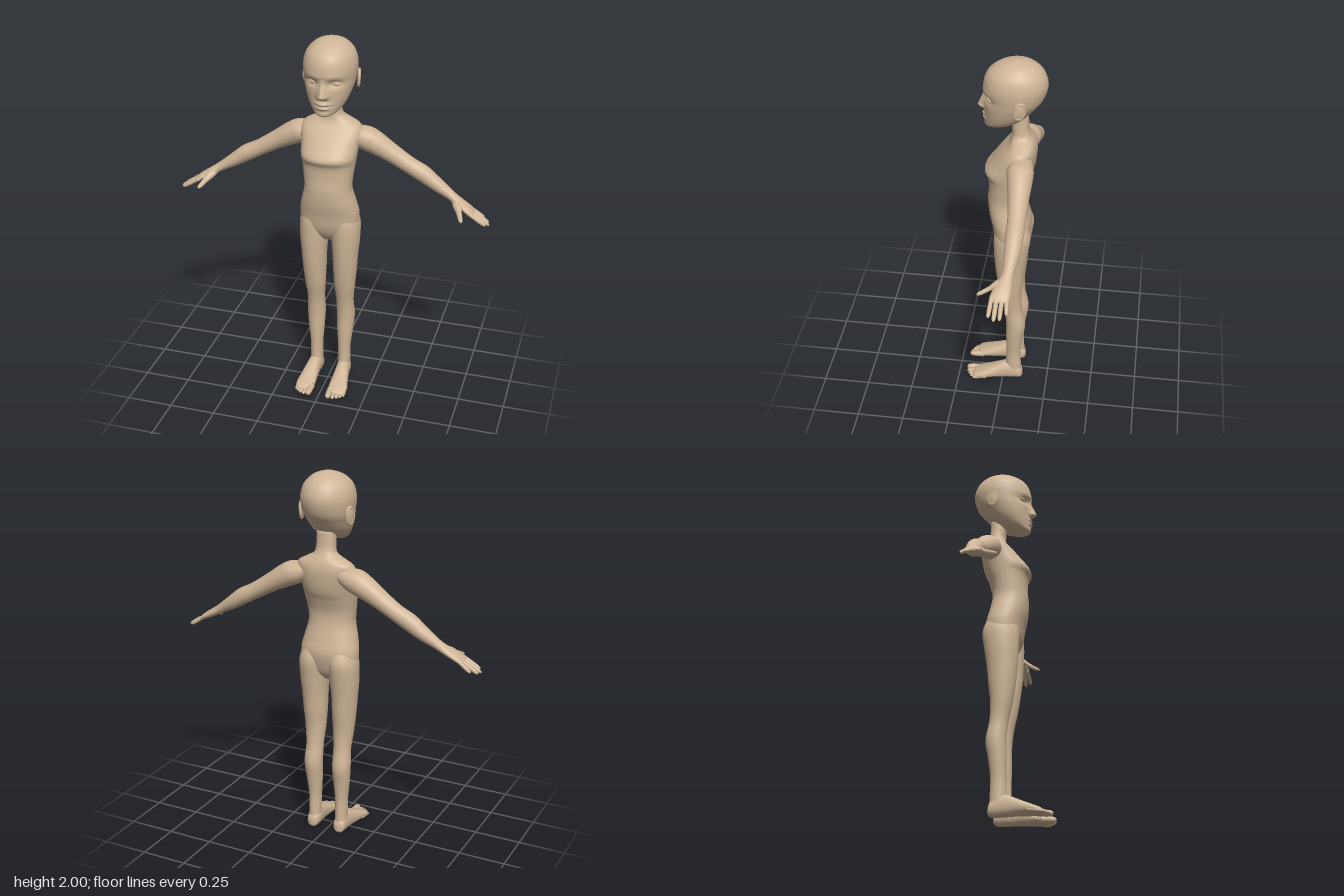
import * as THREE from 'three';

const X = new THREE.Vector3(1, 0, 0), Y = new THREE.Vector3(0, 1, 0), Z = new THREE.Vector3(0, 0, 1);
const ARM_DOWN = new THREE.Vector3(-0.54, -0.84, 0);

// Smooth interpolation through rows of numbers
function sample(rows, t) {
  const n = rows.length - 1, i = Math.min(Math.floor(t * n), n - 1), f = t * n - i;
  const at = k => rows[Math.max(0, Math.min(n, k))];
  return rows[0].map((_, c) => {
    const a = at(i - 1)[c], b = at(i)[c], d = at(i + 1)[c], e = at(i + 2)[c];
    return b + 0.5 * f * (d - a + f * (2 * a - 5 * b + 4 * d - e + f * (3 * (b - d) + e - a)));
  });
}

// Closed loft; each row is centre x, y, z and radii along u and v. The path runs along u x v.
function loft(rows, u, v, { sides = 32, steps = 6, power = 2, sculpt } = {}) {
  const pos = [], index = [], rings = (rows.length - 1) * steps;
  const sp = c => Math.sign(c) * Math.abs(c) ** (2 / power);
  const put = p => { if (sculpt) sculpt(p); pos.push(p.x, p.y, p.z); };
  for (let i = 0; i <= rings; i++) {
    const [x, y, z, a, b] = sample(rows, i / rings);
    for (let j = 0; j < sides; j++) {
      const t = j / sides * Math.PI * 2;
      put(new THREE.Vector3(x, y, z).addScaledVector(u, a * sp(Math.cos(t))).addScaledVector(v, b * sp(Math.sin(t))));
    }
  }
  for (let i = 0; i < rings; i++) for (let j = 0; j < sides; j++) {
    const k = (j + 1) % sides, a = i * sides + j, b = i * sides + k;
    index.push(a, b, b + sides, a, b + sides, a + sides);
  }
  const first = pos.length / 3, last = rings * sides;
  put(new THREE.Vector3(...rows[0].slice(0, 3)));
  put(new THREE.Vector3(...rows[rows.length - 1].slice(0, 3)));
  for (let j = 0; j < sides; j++) {
    const k = (j + 1) % sides;
    index.push(first, k, j, first + 1, last + j, last + k);
  }
  const g = new THREE.BufferGeometry();
  g.setAttribute('position', new THREE.Float32BufferAttribute(pos, 3));
  g.setIndex(index);
  g.computeVertexNormals();
  return g;
}

// Round-ended digit from p to q
function digit(p, q, r, u, v) {
  const rows = [[0, 1], [0.3, 0.95], [0.6, 0.98], [0.85, 0.85], [0.96, 0.55], [1, 0.1]].map(([t, s]) =>
    [...p.map((c, i) => c + (q[i] - c) * t), r * s, r * s]);
  return loft(rows, u, v, { sides: 14, steps: 3 });
}

// Rows of height, half width, front z, back z
const upright = rows => rows.map(([y, w, f, b]) => [0, y, (f + b) / 2, (f - b) / 2, w]);

function mirrored(g) {
  const m = g.clone().scale(-1, 1, 1), ix = m.index.array;
  for (let i = 0; i < ix.length; i += 3) [ix[i], ix[i + 1]] = [ix[i + 1], ix[i]];
  m.computeVertexNormals();
  return m;
}

export function createModel() {
  const skin = new THREE.MeshStandardMaterial({ color: 0xcfb597 });
  skin.name = 'skin';
  const model = new THREE.Group();
  model.name = 'figure';
  const add = (name, g) => {
    const m = new THREE.Mesh(g, skin);
    m.name = name;
    model.add(m);
  };
  const pair = (name, g) => {
    add('left' + name, g);
    add('right' + name, mirrored(g));
  };

  // Torso and neck
  add('torso', loft(upright([
    [0.89, 0.05, 0, -0.07], [0.93, 0.11, 0.03, -0.11], [0.98, 0.152, 0.05, -0.13], [1.05, 0.159, 0.062, -0.142],
    [1.12, 0.146, 0.078, -0.128], [1.2, 0.127, 0.085, -0.11], [1.27, 0.131, 0.08, -0.108], [1.34, 0.14, 0.083, -0.13],
    [1.385, 0.146, 0.1, -0.15], [1.44, 0.152, 0.062, -0.162], [1.5, 0.16, 0.015, -0.166], [1.535, 0.148, -0.018, -0.16],
    [1.56, 0.105, -0.032, -0.15], [1.585, 0.062, -0.037, -0.136], [1.62, 0.052, -0.038, -0.125], [1.7, 0.05, -0.03, -0.12],
  ]), Z, X, { sides: 48, power: 2.25 }));

  // Head with nose, lips, brow and eye sockets
  const bell = (d, s) => Math.exp(-d * d / (2 * s * s));
  const face = p => {
    if (p.z < 0) return;
    const x = Math.abs(p.x), y = p.y;
    const ridge = y > 1.742 ? Math.max(0, 1 - (y - 1.742) / 0.085) : bell(y - 1.742, 0.009);
    p.z += 0.036 * ridge * bell(x, 0.012 + 0.004 * ridge);
    p.z += 0.008 * bell(y - 1.735, 0.008) * bell(x - 0.018, 0.007);
    p.z += (0.014 * bell(y - 1.698, 0.007) + 0.013 * bell(y - 1.677, 0.007)) * bell(x, 0.022);
    p.z -= 0.004 * bell(y - 1.688, 0.003) * bell(x, 0.03);
    p.z += 0.006 * bell(y - 1.645, 0.012) * bell(x, 0.025);
    p.z -= 0.015 * bell(y - 1.805, 0.014) * bell(x - 0.06, 0.027);
    p.z += 0.005 * bell(y - 1.84, 0.012) * bell(x - 0.05, 0.035);
  };
  add('head', loft(upright([
    [1.628, 0.018, 0.085, 0.045], [1.637, 0.045, 0.094, 0.01], [1.66, 0.075, 0.096, -0.06], [1.7, 0.101, 0.097, -0.115],
    [1.75, 0.12, 0.099, -0.16], [1.8, 0.132, 0.099, -0.196], [1.87, 0.137, 0.104, -0.214], [1.93, 0.122, 0.084, -0.197],
    [1.97, 0.087, 0.038, -0.16], [1.99, 0.05, -0.01, -0.115], [2, 0.008, -0.05, -0.066],
  ]), Z, X, { sides: 112, steps: 11, sculpt: face }));
  pair('Eye', new THREE.SphereGeometry(1, 20, 12).scale(0.023, 0.0095, 0.014).rotateY(0.4).translate(0.066, 1.805, 0.063));
  for (const [name, lift, r] of [['UpperEyelid', 0.001, 0.0035], ['LowerEyelid', -0.001, 0.0025]]) {
    const s = Math.sign(lift);
    const arc = [-1, -0.5, 0, 0.5, 1].map(t =>
      new THREE.Vector3(0.066 + 0.023 * t, 1.805 + s * 0.0095 * (1 - t * t), 0.069 - 0.010 * t + 0.004 * (1 - t * t)));
    pair(name, new THREE.TubeGeometry(new THREE.CatmullRomCurve3(arc), 16, r, 8));
  }

  // Ears: a thin shell with a raised rim
  const placeEar = g => g.rotateY(Math.PI / 2 + 0.3).rotateX(-0.15).translate(0.137, 1.79, -0.09);
  pair('Ear', placeEar(new THREE.SphereGeometry(1, 20, 14).scale(0.028, 0.045, 0.009)));
  pair('EarRim', placeEar(new THREE.TorusGeometry(1, 0.2, 10, 32).scale(0.027, 0.042, 0.035)));

  // Arms running into the palms
  pair('Arm', loft([
    [0.08, 1.495, -0.1, 0.045, 0.035], [0.16, 1.468, -0.1, 0.066, 0.063], [0.22, 1.44, -0.103, 0.063, 0.062],
    [0.3, 1.395, -0.107, 0.053, 0.051], [0.4, 1.335, -0.11, 0.045, 0.044], [0.48, 1.292, -0.11, 0.045, 0.045],
    [0.55, 1.245, -0.108, 0.039, 0.037], [0.63, 1.195, -0.1, 0.029, 0.025], [0.68, 1.165, -0.088, 0.039, 0.022],
    [0.73, 1.137, -0.076, 0.048, 0.018], [0.757, 1.12, -0.073, 0.044, 0.011], [0.763, 1.116, -0.073, 0.02, 0.004],
  ], Z, ARM_DOWN));
  [[-0.108, -0.115, 0.81, 1.083, 0.0105], [-0.085, -0.086, 0.838, 1.072, 0.0115],
    [-0.061, -0.058, 0.845, 1.07, 0.012], [-0.037, -0.03, 0.83, 1.078, 0.0115]].forEach(([z0, z1, x, y, r], i) =>
    pair('Finger' + (i + 1), digit([0.735, 1.134, z0], [x, y, z1], r, Z, ARM_DOWN)));
  pair('Thumb', loft([
    [0.66, 1.173, -0.09, 0.022, 0.018], [0.675, 1.16, -0.05, 0.023, 0.019], [0.692, 1.14, -0.015, 0.015, 0.014],
    [0.704, 1.126, 0.015, 0.013, 0.012], [0.711, 1.119, 0.035, 0.009, 0.008], [0.713, 1.117, 0.041, 0.001, 0.001],
  ], X, Y, { sides: 18 }));

  // Legs
  pair('Leg', loft([
    [0.08, 0.04, -0.06, 0.046, 0.034], [0.08, 0.12, -0.06, 0.042, 0.034], [0.08, 0.2, -0.06, 0.04, 0.035],
    [0.082, 0.3, -0.065, 0.046, 0.044], [0.084, 0.4, -0.072, 0.053, 0.05], [0.082, 0.5, -0.058, 0.049, 0.048],
    [0.083, 0.6, -0.045, 0.057, 0.057], [0.085, 0.7, -0.042, 0.07, 0.064], [0.087, 0.8, -0.041, 0.08, 0.069],
    [0.087, 0.9, -0.045, 0.09, 0.077], [0.083, 1, -0.05, 0.096, 0.079], [0.075, 1.08, -0.045, 0.075, 0.06],
  ], Z, X, { sides: 36 }));

  // Feet and toes
  pair('Foot', loft([
    [0.08, 0.035, -0.112, 0.01, 0.015], [0.08, 0.042, -0.1, 0.03, 0.036], [0.08, 0.056, -0.06, 0.037, 0.054],
    [0.083, 0.057, -0.02, 0.038, 0.055], [0.086, 0.05, 0.02, 0.041, 0.047], [0.089, 0.038, 0.07, 0.047, 0.036],
    [0.092, 0.027, 0.12, 0.052, 0.024], [0.092, 0.02, 0.155, 0.047, 0.015], [0.09, 0.018, 0.17, 0.03, 0.006],
  ], X, Y, { sides: 28, power: 2.3 }));
  [[0.057, 0.21, 0.017], [0.083, 0.207, 0.0115], [0.103, 0.198, 0.011], [0.12, 0.186, 0.0105], [0.135, 0.17, 0.01]]
    .forEach(([x, z, r], i) => pair('Toe' + (i + 1), digit([x - 0.003, 0.022, z - 0.08], [x, r, z], r, X, Y)));

  return model;
}
